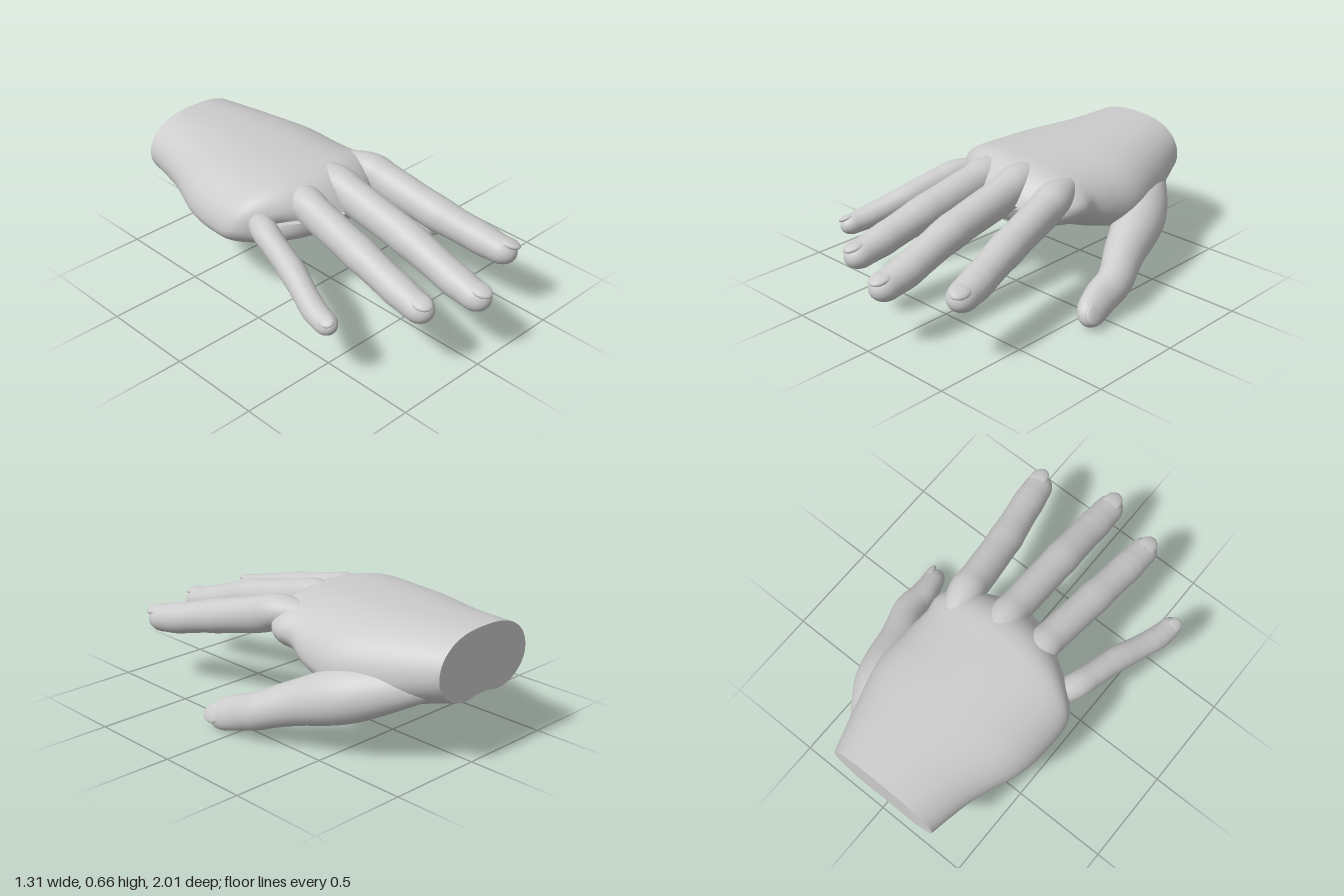
import * as THREE from 'three';

const material = new THREE.MeshStandardMaterial({ color: 0xcccccc, side: THREE.DoubleSide });
const V = (x, y, z) => new THREE.Vector3(x, y, z);
const { lerp, clamp, smoothstep } = THREE.MathUtils;
const bump = (d, width) => Math.exp(-((d / width) ** 2));

// Smooth interpolation of every column in a short list of stations
function sampler(rows) {
  const columns = rows[0].map((_, c) => new THREE.SplineCurve(rows.map((r) => new THREE.Vector2(r[c], 0))));
  return (t) => columns.map((curve) => curve.getPoint(t).x);
}

// Closed rings joined into one smooth skin; point(t, angle) gives the surface
function loft(point, steps, sides, name) {
  const positions = [], index = [];
  for (let i = 0; i <= steps; i++) {
    for (let j = 0; j < sides; j++) {
      positions.push(...point(i / steps, (j / sides) * Math.PI * 2).toArray());
      if (i === steps) continue;
      const a = i * sides + j, b = i * sides + ((j + 1) % sides);
      index.push(a, b, a + sides, b, b + sides, a + sides);
    }
  }
  const geometry = new THREE.BufferGeometry();
  geometry.setAttribute('position', new THREE.Float32BufferAttribute(positions, 3));
  geometry.setIndex(index);
  geometry.computeVertexNormals();
  const mesh = new THREE.Mesh(geometry, material);
  mesh.name = name;
  return mesh;
}

// Palm stations: z, min x, max x, edge y on each side, bottom y on each side
const palmAt = sampler([
  [-1, -0.36, 0.25, 0.5, 0.5, 0.33, 0.33],
  [-0.75, -0.41, 0.34, 0.48, 0.44, 0.305, 0.26],
  [-0.5, -0.5, 0.41, 0.45, 0.42, 0.285, 0.22],
  [-0.3, -0.525, 0.4, 0.44, 0.44, 0.285, 0.28],
  [-0.12, -0.525, 0.375, 0.45, 0.5, 0.31, 0.35],
  [0.02, -0.51, 0.385, 0.47, 0.51, 0.35, 0.38],
  [0.1, -0.46, 0.36, 0.48, 0.52, 0.4, 0.42],
  [0.15, -0.36, 0.29, 0.49, 0.52, 0.49, 0.5],
]);

function palmPoint(t, angle) {
  const [z, x0, x1, edge0, edge1, low0, low1] = palmAt(t);
  const u = Math.cos(angle), k = (u + 1) / 2;
  const edge = lerp(edge0, edge1, k);
  const round = Math.sqrt(Math.max(0, 1 - Math.abs(u) ** 2.6));
  const front = smoothstep(z, -0.3, 0.1);
  // The back is level, then falls away between the fingers
  const top = 0.682 - 0.165 * clamp((z + 0.12) / 0.27, 0, 1) ** 3;
  // Hollow between the two pads underneath
  const low = lerp(low0, low1, k) + 0.03 * bump(u, 0.3) * (1 - front);
  const target = Math.sin(angle) >= 0 ? top : low;
  return V(lerp(x0, x1, k), edge + (target - edge) * round, z - 0.15 * front * (u - 0.1) ** 2);
}

// A digit follows stations of x, y, z, half width, half thickness; roll turns its nail sideways
function makeDigit(name, roll, rows, joints) {
  const at = sampler(rows);
  const tip = V(...rows.at(-1));
  const frame = (t) => {
    const [x, y, z, width, height] = at(t);
    const forward = V(...at(Math.min(1, t + 0.02))).sub(V(...at(Math.max(0, t - 0.02)))).normalize();
    const side = V(Math.sin(roll), Math.cos(roll), 0).cross(forward).normalize();
    return { center: V(x, y, z), forward, side, up: forward.clone().cross(side), width, height };
  };
  const skin = loft((s, angle) => {
    const f = frame(1 - (1 - s) ** 1.7); // denser rings towards the tip
    const reach = Math.min(1, f.center.distanceTo(tip) / (f.width * 1.15));
    const c = Math.cos(angle), n = Math.sin(angle);
    let size = Math.sqrt(Math.max(0, 1 - (1 - reach) ** 2));
    // Swollen joints, with a fine crease on the upper side
    for (const z of joints) {
      const d = f.center.z - z;
      size *= 1 + 0.05 * bump(d, 0.05) - 0.03 * Math.max(0, n) * bump(d, 0.014);
    }
    return f.center
      .addScaledVector(f.side, c * f.width * size)
      .addScaledVector(f.up, n * f.height * size);
  }, 64, 28, name + 'Skin');

  // Nail: a thin curved plate set into the upper side of the tip
  const f = frame(1 - 0.4 / (rows.length - 1));
  const nail = new THREE.Mesh(new THREE.SphereGeometry(1, 20, 12), material);
  nail.name = name + 'Nail';
  nail.scale.set(f.width * 0.66, f.height * 0.3, f.width * 0.85);
  nail.quaternion.setFromRotationMatrix(new THREE.Matrix4().makeBasis(f.side, f.up, f.forward));
  nail.position.copy(f.center).addScaledVector(f.up, f.height * 0.74);

  const digit = new THREE.Group();
  digit.name = name;
  digit.add(skin, nail);
  return digit;
}

// Fingers share one taper, from a root hidden in the palm to the tip
const widths = [0.45, 1, 0.99, 0.97, 0.91, 0.84];
const heights = [0.55, 0.92, 1.1, 1, 0.9, 0.77];

function makeFinger(name, roll, size, knuckle, web, joint, endJoint, tip) {
  const root = V(knuckle.x * 0.75, knuckle.y - 0.01, knuckle.z - 0.22);
  const path = [root, knuckle, web, joint, endJoint, tip];
  const rows = path.map((p, i) => [p.x, p.y, p.z, size * widths[i], size * heights[i]]);
  return makeDigit(name, roll, rows, [joint.z, endJoint.z]);
}

export function createModel() {
  const hand = new THREE.Group();
  hand.name = 'hand';
  hand.add(loft(palmPoint, 60, 64, 'palm'));

  // Flat end of the wrist
  const outline = Array.from({ length: 64 }, (_, j) => palmPoint(0, (j / 64) * Math.PI * 2));
  const wrist = new THREE.Mesh(
    new THREE.ShapeGeometry(new THREE.Shape(outline.map((p) => new THREE.Vector2(p.x, p.y)))), material);
  wrist.name = 'wristEnd';
  wrist.position.z = -1;
  hand.add(wrist);

  // Knuckle, web, middle joint, end joint and tip of each finger
  hand.add(
    makeFinger('littleFinger', -0.4, 0.064, V(-0.43, 0.51, -0.03), V(-0.465, 0.475, 0.1),
      V(-0.507, 0.43, 0.27), V(-0.578, 0.362, 0.49), V(-0.603, 0.34, 0.643)),
    makeFinger('ringFinger', -0.15, 0.085, V(-0.19, 0.58, 0), V(-0.2, 0.54, 0.13),
      V(-0.222, 0.475, 0.43), V(-0.237, 0.41, 0.69), V(-0.245, 0.365, 0.905)),
    makeFinger('middleFinger', 0, 0.088, V(0.03, 0.6, 0), V(0.035, 0.55, 0.15),
      V(0.04, 0.473, 0.5), V(0.048, 0.38, 0.79), V(0.05, 0.335, 1)),
    makeFinger('indexFinger', 0.25, 0.087, V(0.27, 0.575, 0), V(0.29, 0.53, 0.13),
      V(0.337, 0.457, 0.42), V(0.392, 0.395, 0.67), V(0.425, 0.36, 0.855)),
  );

  // Thumb, growing out of the fleshy pad beside the wrist
  hand.add(makeDigit('thumb', 1.1, [
    [0.18, 0.43, -0.88, 0.08, 0.06],
    [0.36, 0.335, -0.57, 0.135, 0.122],
    [0.47, 0.24, -0.3, 0.11, 0.1],
    [0.55, 0.17, -0.13, 0.09, 0.082],
    [0.567, 0.125, 0, 0.09, 0.07],
    [0.602, 0.065, 0.165, 0.07, 0.052],
  ], [-0.12]));
  return hand;
}
